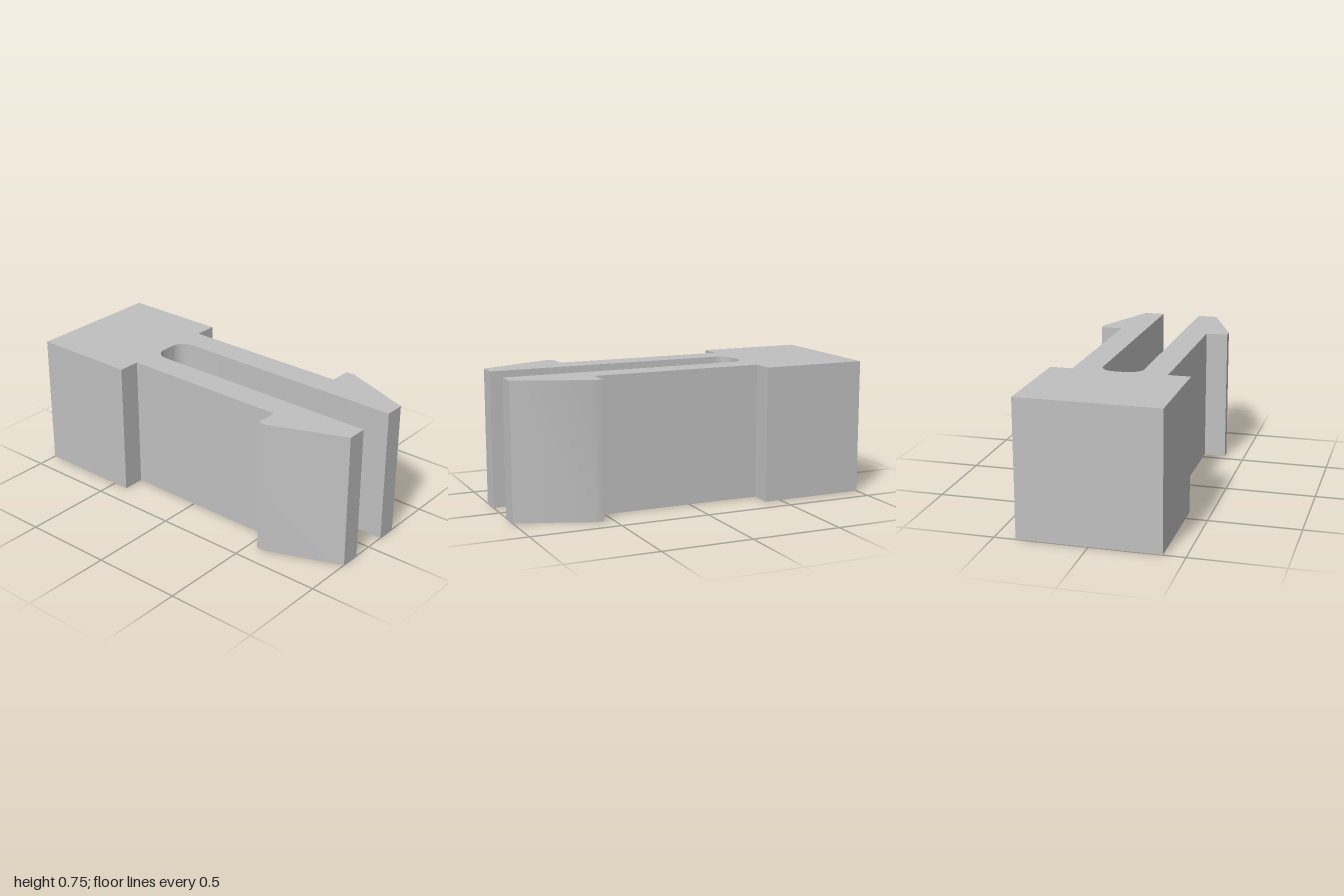
import * as THREE from 'three';
import { toCreasedNormals } from 'three/addons/utils/BufferGeometryUtils.js';

const HEIGHT = 0.75;
const SLOT = 0.113;    // half width of the slot between the prongs
const ROOT = -0.41;    // where the block ends and the prongs begin
const FILLET = 0.08;   // rounding at the closed end of the slot

export function createModel() {
  const grey = new THREE.MeshStandardMaterial({ color: 0xc0c0c0 });
  grey.name = 'grey plastic';

  // Outer outline of one side: barb tip, barb, prong, block
  const side = [
    [1, 0.225], [0.6, 0.383], [0.55, 0.383], [0.55, 0.26],
    [ROOT, 0.26], [ROOT, 0.383], [-1, 0.383],
  ];
  const mirrored = side.map(([x, z]) => [x, -z]).reverse();

  // Plan of the whole clip, ending with the round-cornered slot
  const plan = new THREE.Shape();
  plan.moveTo(1, SLOT);
  for (const [x, z] of [...side, ...mirrored]) plan.lineTo(x, z);
  plan.lineTo(1, -SLOT);
  plan.lineTo(ROOT + FILLET, -SLOT);
  plan.absarc(ROOT + FILLET, -SLOT + FILLET, FILLET, -Math.PI / 2, -Math.PI, true);
  plan.absarc(ROOT + FILLET, SLOT - FILLET, FILLET, Math.PI, Math.PI / 2, true);
  plan.lineTo(1, SLOT);

  // Raise the plan upright, smoothing the fillets and the gentle barb bend
  const solid = new THREE.ExtrudeGeometry(plan, {
    depth: HEIGHT, bevelEnabled: false, curveSegments: 10,
  });
  solid.rotateX(-Math.PI / 2);
  const body = new THREE.Mesh(toCreasedNormals(solid, Math.PI / 6), grey);
  body.name = 'snapClipBody';

  const group = new THREE.Group();
  group.name = 'snapClip';
  group.add(body);
  return group;
}
